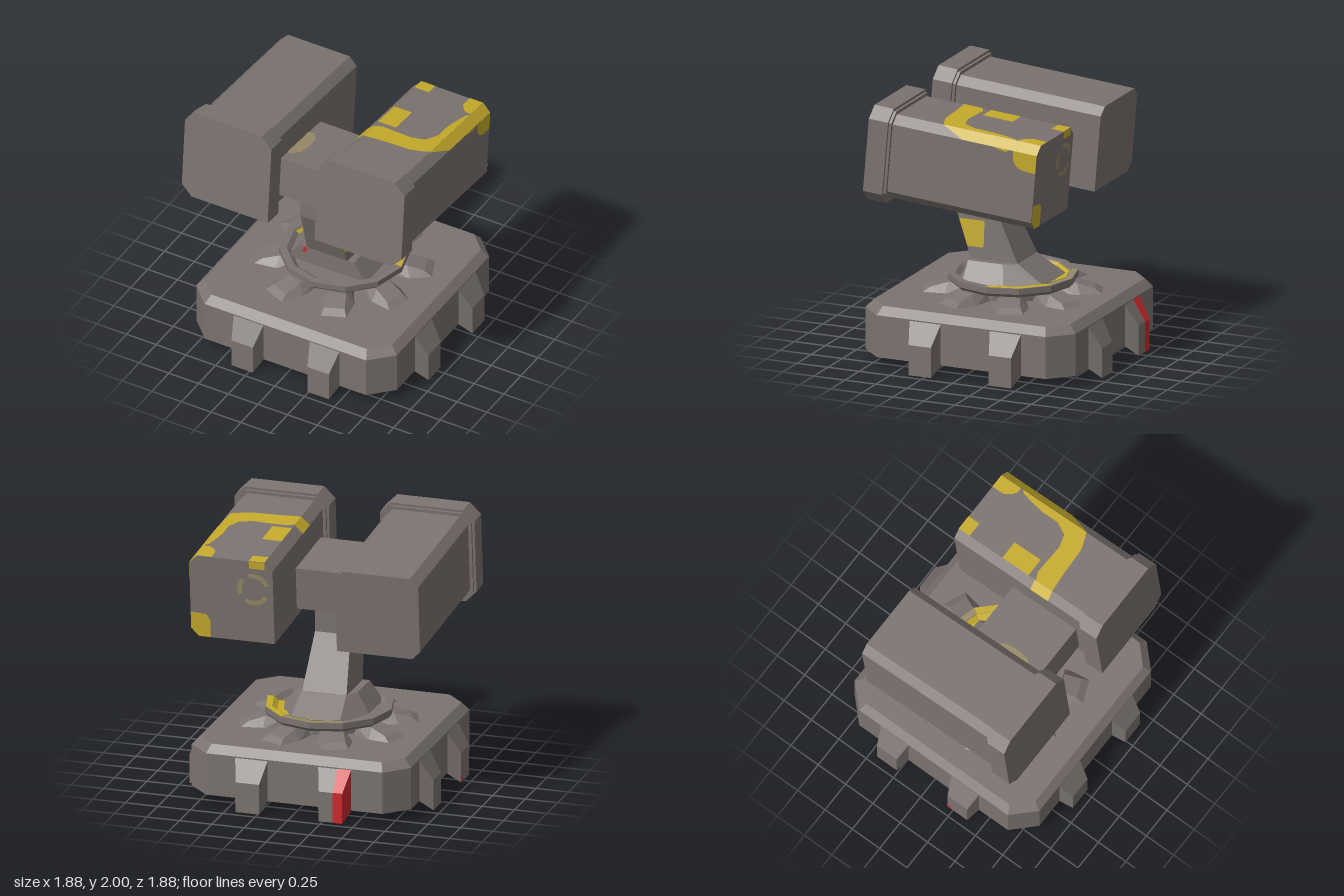
import * as THREE from 'three';
import { ConvexGeometry } from 'three/addons/geometries/ConvexGeometry.js';

const TILT = -THREE.MathUtils.degToRad(4.9);

export function createModel() {
  const model = new THREE.Group();
  const material = (name, color) =>
    new THREE.MeshStandardMaterial({ name, color, side: THREE.DoubleSide });
  const grey = material('warm grey metal', 0x7b736f);
  const yellow = material('yellow paint', 0xc6ab2b);
  const faded = material('faded yellow paint', 0x968a66);
  const red = material('red paint', 0xcc2a2c);

  const add = (parent, name, geometry, mat = grey) => {
    const mesh = new THREE.Mesh(geometry, mat);
    mesh.name = name;
    parent.add(mesh);
    return mesh;
  };
  const flat = (geometry) => {
    const g = geometry.index ? geometry.toNonIndexed() : geometry;
    g.computeVertexNormals();
    return g;
  };
  const hull = (pts) => new ConvexGeometry(pts.map((p) => new THREE.Vector3(...p)));
  const shapeOf = (pts) => new THREE.Shape(pts.map((p) => new THREE.Vector2(...p)));
  const rect = (a, b, c, d) => [[a, b], [c, b], [c, d], [a, d]];
  // Flat polygon from corners in space
  const face = (pts) => {
    const pos = [];
    for (let i = 1; i < pts.length - 1; i++) pos.push(...pts[0], ...pts[i], ...pts[i + 1]);
    const g = new THREE.BufferGeometry();
    g.setAttribute('position', new THREE.Float32BufferAttribute(pos, 3));
    return flat(g);
  };

  // Hollow base with chamfered corners, open underneath
  const base = new THREE.Group();
  base.name = 'base';
  model.add(base);
  const octagon = (h, c) => [[h, c], [c, h], [-c, h], [-h, c], [-h, -c], [-c, -h], [c, -h], [h, -c]];
  const tiers = [[0.08, 0.845, 0.68], [0.4, 0.845, 0.68], [0.46, 0.79, 0.655]];
  for (let t = 0; t < 2; t++) {
    const [y0, h0, c0] = tiers[t], [y1, h1, c1] = tiers[t + 1];
    const low = octagon(h0, c0), high = octagon(h1, c1);
    for (let i = 0; i < 8; i++) {
      const j = (i + 1) % 8;
      add(base, t ? 'baseBevel' : 'baseWall', face([
        [low[i][0], y0, low[i][1]], [high[i][0], y1, high[i][1]],
        [high[j][0], y1, high[j][1]], [low[j][0], y0, low[j][1]],
      ]));
    }
  }
  add(base, 'baseTop', new THREE.ShapeGeometry(shapeOf(octagon(0.79, 0.655))).rotateX(-Math.PI / 2))
    .position.y = 0.46;

  // Eight tapered feet, two to a side
  const footGeometry = (l, r, e = 0) => hull([l, r].flatMap((f) => [
    [f * 0.125, 0.39 + e, 0.845], [f * 0.125, 0.075, 0.845],
    [f * 0.09, 0.235 + e, 0.94 + e], [f * 0.09, 0.005, 0.94 + e],
  ]));
  for (let side = 0; side < 4; side++) {
    for (const c of side % 2 ? [-0.355, 0.29] : [-0.31, 0.33]) {
      const foot = new THREE.Group();
      foot.name = 'foot';
      foot.rotation.y = side * Math.PI / 2;
      foot.position.set(side % 2 ? 0 : c, 0, side % 2 ? c : 0);
      add(foot, 'footBlock', footGeometry(-1, 1));
      if (side === 2 && c < 0) add(foot, 'redFootPaint', footGeometry(0.2, 1.03, 0.003), red);
      if (side === 3 && c > 0) {
        add(foot, 'redFootChip', face([
          [-0.092, 0.01, 0.943], [-0.03, 0.01, 0.943], [-0.092, 0.07, 0.943]]), red);
      }
      base.add(foot);
    }
  }

  // Turntable: radial fins, core and dished ring
  const turntable = new THREE.Group();
  turntable.name = 'turntable';
  turntable.position.z = -0.03;
  model.add(turntable);
  const finGeometry = hull([-1, 1].flatMap((s) => [
    [s * 0.1, 0.45, 0.67], [s * 0.075, 0.495, 0.6], [s * 0.07, 0.53, 0.47],
    [s * 0.14, 0.45, 0.5], [s * 0.11, 0.45, 0.3], [s * 0.07, 0.53, 0.3],
  ]));
  for (let i = 0; i < 8; i++) {
    add(turntable, 'fin', finGeometry).rotation.y = (i + 0.5) * Math.PI / 4;
  }
  add(turntable, 'core', flat(new THREE.CylinderGeometry(0.36, 0.36, 0.07, 12))).position.y = 0.5;
  const lathe = (pts, start = 0, count = 12) => flat(new THREE.LatheGeometry(
    pts.map((p) => new THREE.Vector2(...p)), count, start * Math.PI / 6, count * Math.PI / 6));
  add(turntable, 'ring', lathe([
    [0, 0.53], [0.455, 0.53], [0.48, 0.555], [0.48, 0.6], [0.425, 0.6], [0.39, 0.57], [0, 0.57]]));
  add(turntable, 'ringRimPaint', lathe([[0.475, 0.603], [0.425, 0.603]], 3, 2), yellow);
  add(turntable, 'ringFadedPaint', lathe([[0.475, 0.603], [0.43, 0.603]], 5, 2), faded);
  add(turntable, 'dishPaint', lathe([[0.423, 0.603], [0.388, 0.574], [0.34, 0.574]], 3, 4), yellow);
  add(turntable, 'dishPaintPatch', lathe([[0.41, 0.592], [0.388, 0.574]], 7, 2), yellow);

  // Pedestal and bent neck
  add(model, 'pedestal', hull([-1, 1].flatMap((s) => [
    [s * 0.33, 0.57, 0.23], [s * 0.225, 0.71, 0.23], [s * 0.33, 0.57, -0.1],
    [s * 0.19, 0.57, -0.37], [s * 0.225, 0.71, -0.05], [s * 0.17, 0.71, -0.15],
  ])));
  add(model, 'pedestalRedChip', face([
    [-0.21, 0.655, 0.234], [-0.185, 0.66, 0.234], [-0.16, 0.7, 0.234], [-0.19, 0.708, 0.234]]), red);
  const neckSection = (x, y, z0, z1) => [[-x, y, z0], [x, y, z0], [x, y, z1], [-x, y, z1]];
  const bend = neckSection(0.137, 1.11, 0.05, 0.38);
  add(model, 'lowerNeck', hull([...neckSection(0.172, 0.7, -0.15, 0.226), ...bend]));
  add(model, 'upperNeck', hull([...bend, ...neckSection(0.137, 1.38, 0.05, 0.38)]));
  add(model, 'neckPaint', face([
    [0.168, 0.8, 0.13], [0.151, 1, 0.13], [0.151, 1, 0.335], [0.168, 0.8, 0.262]]), yellow);

  // Tilted crossbar between the launchers
  const crossbar = new THREE.Group();
  crossbar.name = 'crossbar';
  crossbar.position.set(0, 1.495, 0.214);
  crossbar.rotation.x = TILT;
  model.add(crossbar);
  add(crossbar, 'crossbarBlock', new THREE.BoxGeometry(0.5, 0.32, 0.58));
  add(crossbar, 'crossbarFadedPaint', new THREE.ShapeGeometry(shapeOf([
    [-0.24, 0.12], [-0.19, 0.12], [-0.15, 0.06], [-0.14, -0.04], [-0.155, -0.14], [-0.2, -0.2], [-0.24, -0.2],
  ])).rotateX(-Math.PI / 2), faded).position.y = 0.164;

  // Launchers: chamfered box with a thicker collar, inner bottom corner square
  const slab = (s, h, c, depth) => new THREE.ExtrudeGeometry(shapeOf([
    [-h, -h], [h - c, -h], [h, c - h], [h, h - c], [h - c, h], [c - h, h], [-h, h - c],
  ].map(([x, y]) => [x * s, y])), { depth, bevelEnabled: false });
  const launchers = [-1, 1].map((s) => {
    const g = new THREE.Group();
    g.name = s > 0 ? 'leftLauncher' : 'rightLauncher';
    g.position.set(s * 0.561, 1.525, -0.603);
    g.rotation.x = TILT;
    add(g, 'launcherBody', slab(s, 0.321, 0.062, 1.18));
    add(g, 'collarStep', slab(s, 0.345, 0.073, 0.03)).position.z = 1.163;
    add(g, 'collar', slab(s, 0.364, 0.085, 0.155)).position.z = 1.183;
    model.add(g);
    return g;
  });

  // Worn paint on the left launcher
  const left = launchers[1];
  const paint = (name, pts, place, mat = yellow) =>
    add(left, name, place(new THREE.ShapeGeometry(shapeOf(pts))), mat);
  const onTop = (g) => g.rotateX(-Math.PI / 2).translate(0, 0.324, 0);
  const onSide = (g) => g.rotateY(Math.PI / 2).translate(0.324, 0, 0);
  const onBack = (g) => g.rotateY(Math.PI).translate(0, 0, -0.003);
  paint('topBackPatch', rect(-0.26, -0.1, -0.14, 0), onTop);
  paint('topMiddlePatch', rect(-0.26, -0.64, -0.11, -0.4), onTop);
  paint('topCornerPatch', [[0.15, 0], [0.15, -0.1], [0.18, -0.15], [0.22, -0.18], [0.26, -0.18], [0.26, 0]], onTop);
  paint('topBand', [
    [-0.26, -0.86], [-0.12, -0.845], [0.12, -0.835], [0.22, -0.8], [0.26, -0.78], [0.26, -0.2], [0.24, -0.22],
    [0.22, -0.3], [0.2, -0.42], [0.2, -0.56], [0.15, -0.66], [0.05, -0.69], [-0.2, -0.68], [-0.26, -0.71],
  ], onTop);
  const chamferStrip = (name, s, z0, z1, z2) => add(left, name, face([
    [s * 0.261, 0.324, z0], [s * 0.261, 0.324, z1], [s * 0.324, 0.261, z2], [s * 0.324, 0.261, z0]]), yellow);
  chamferStrip('outerEdgeStripe', 1, 0, 0.79, 0.6);
  chamferStrip('innerEdgePatch', -1, 0.7, 0.86, 0.86);
  paint('sideCornerPatch', [
    [0, 0.26], [-0.19, 0.26], [-0.185, 0.19], [-0.16, 0.15], [-0.11, 0.125], [0, 0.12]], onSide);
  paint('sideChip', [[-0.22, 0.26], [-0.35, 0.26], [-0.29, 0.245], [-0.25, 0.24]], onSide);
  paint('backTopPatch', rect(0.14, 0.265, 0.26, 0.32), onBack);
  paint('backCornerPatch', [
    [-0.32, -0.26], [-0.32, -0.13], [-0.2, -0.14], [-0.17, -0.18], [-0.17, -0.32], [-0.26, -0.32]], onBack);
  for (const [start, length] of [[0.3, 1.6], [2.4, 1.2], [4.1, 1.7]]) {
    add(left, 'backFadedArc', onBack(
      new THREE.RingGeometry(0.09, 0.125, 10, 1, start, length).translate(0.17, 0.1, 0)), faded);
  }

  return model;
}
